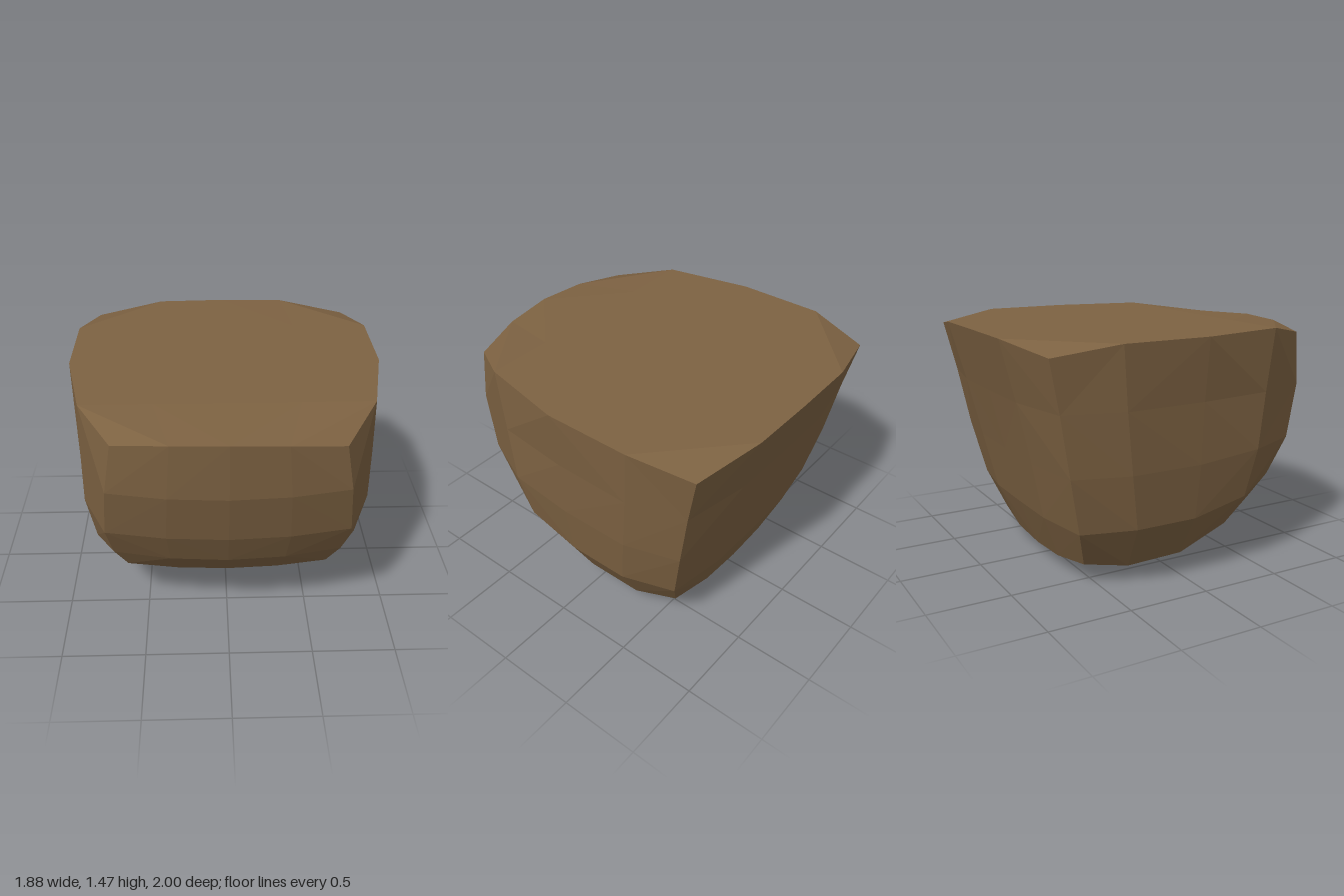
import * as THREE from 'three';

// Rows run from bottom to top, columns from back to front.
const HALF_WIDTH = [
  [0.59, 0.67, 0.68, 0.67, 0.61],
  [0.72, 0.83, 0.83, 0.81, 0.68],
  [0.78, 0.88, 0.88, 0.86, 0.71],
  [0.81, 0.91, 0.90, 0.85, 0.68],
  [0.84, 0.94, 0.94, 0.83, 0.63],
];
const HEIGHT = [
  [0.14, 0.11, 0.125, 0.25, 0.37],
  [0.38, 0.39, 0.39, 0.46, 0.53],
  [0.73, 0.73, 0.73, 0.76, 0.76],
  [1.10, 1.10, 1.10, 1.10, 1.09],
  [1.41, 1.47, 1.47, 1.47, 1.39],
];
const DEPTH = [
  [-0.58, -0.33, 0.03, 0.36, 0.58],
  [-0.67, -0.36, 0.03, 0.40, 0.67],
  [-0.75, -0.42, 0.03, 0.45, 0.79],
  [-0.82, -0.47, 0.03, 0.50, 0.88],
  [-0.89, -0.51, 0.03, 0.57, 0.90],
];
// Extra bulge at the middle of the back, front, bottom and top
const BACK_BULGE = [0.03, 0.06, 0.06, 0.08, 0.11];
const FRONT_BULGE = [0.03, 0.10, 0.09, 0.09, 0.10];
const BOTTOM_BULGE = [0.06, 0.105, 0.10, 0.09, 0.03];
const TOP_BULGE = [0.06, 0, 0, 0, 0.055];

// Moves one point of the 4 x 4 x 4 box grid onto the rounded block
function shapePoint(p) {
  const t = p.x / 2, j = Math.round(p.y + 2), k = Math.round(p.z + 2);
  const soft = 1 - t * t, blunt = 1 - t ** 4;
  let y = HEIGHT[j][k], z = DEPTH[j][k];
  if (j === 0) y -= BOTTOM_BULGE[k] * soft;
  if (j === 4) y += TOP_BULGE[k] * (k === 0 ? blunt : soft);
  if (j === 4 && k === 4) y -= 0.012 * t;
  if (k === 0) z -= BACK_BULGE[j] * blunt;
  if (k === 4) z += FRONT_BULGE[j] * soft;
  p.set(HALF_WIDTH[j][k] * t, y, z);
}

function createBlockGeometry() {
  const geometry = new THREE.BoxGeometry(4, 4, 4, 4, 4, 4);
  const pos = geometry.attributes.position;
  const points = [];
  for (let i = 0; i < pos.count; i++) {
    const p = new THREE.Vector3().fromBufferAttribute(pos, i);
    shapePoint(p);
    pos.setXYZ(i, p.x, p.y, p.z);
    points.push(p);
  }
  // Split each quad along its outer diagonal so that the form stays convex
  const old = geometry.index.array;
  const index = [];
  const centre = new THREE.Vector3(0, 0.75, 0);
  const reach = (a, b) => points[a].clone().lerp(points[b], 0.5).distanceTo(centre);
  for (let q = 0; q < old.length; q += 6) {
    const a = old[q], b = old[q + 1], d = old[q + 2], c = old[q + 4];
    if (reach(a, c) > reach(b, d)) index.push(a, b, c, a, c, d);
    else index.push(a, b, d, b, c, d);
  }
  geometry.setIndex(index);
  const flat = geometry.toNonIndexed();
  flat.computeVertexNormals();
  return flat;
}

export function createModel() {
  const group = new THREE.Group();
  group.name = 'roundedBlock';
  const material = new THREE.MeshStandardMaterial({ color: 0x7d6242, flatShading: true });
  const body = new THREE.Mesh(createBlockGeometry(), material);
  body.name = 'body';
  group.add(body);
  return group;
}
